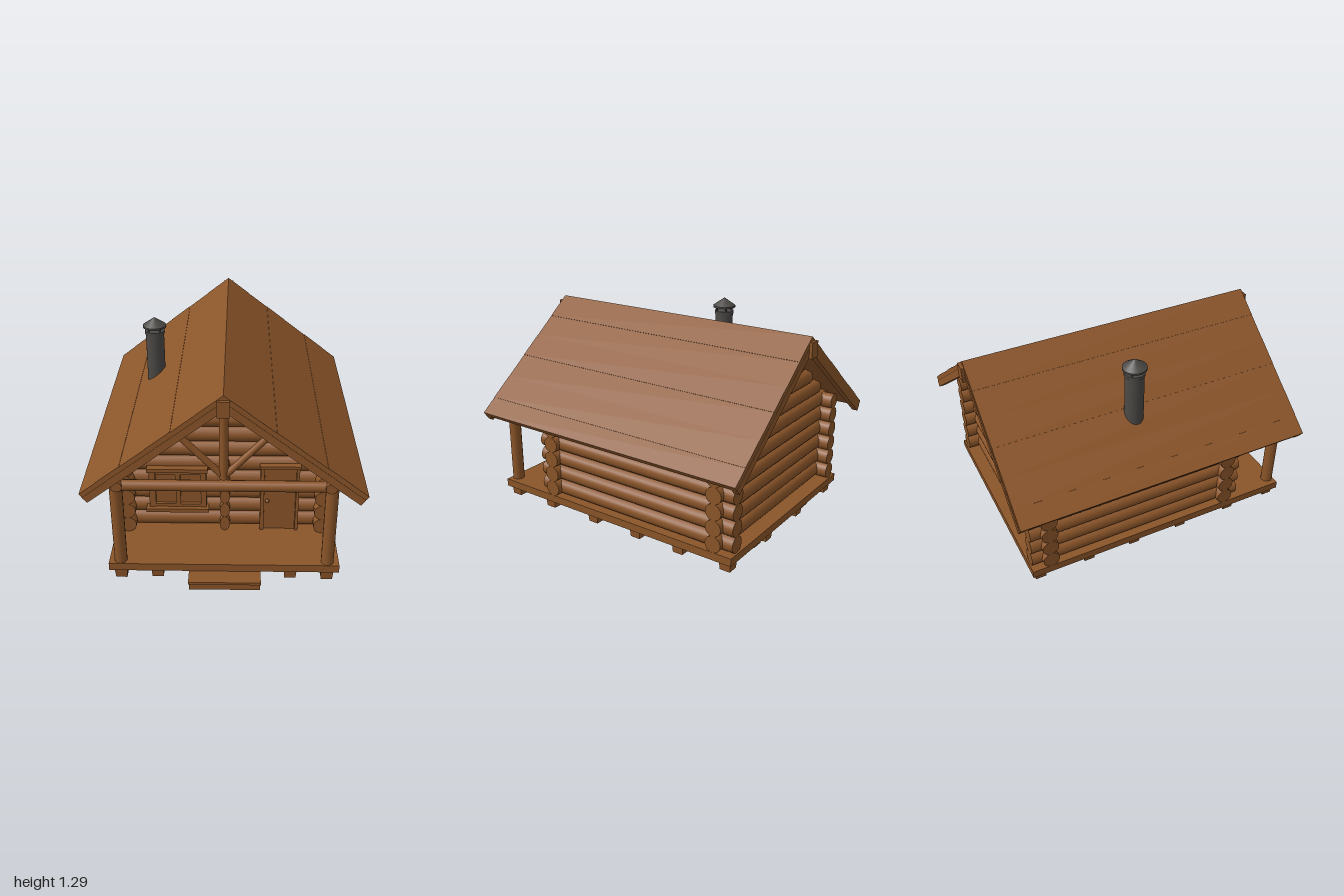
import * as THREE from 'three';

export function createModel() {
  const root = new THREE.Group();
  const wood = new THREE.MeshStandardMaterial({ color: 0x8b5529 });
  wood.name = 'wood brown';
  const iron = new THREE.MeshStandardMaterial({ color: 0x4c4946 });
  iron.name = 'stovepipe grey';

  const add = (name, geo, parent = root, mat = wood) => {
    const m = new THREE.Mesh(geo, mat);
    m.name = name;
    parent.add(m);
    return m;
  };
  const group = (name) => {
    const g = new THREE.Group();
    g.name = name;
    root.add(g);
    return g;
  };
  // Box given by its limits on each axis
  const box = (name, x0, x1, y0, y1, z0, z1, parent) => {
    const m = add(name, new THREE.BoxGeometry(x1 - x0, y1 - y0, z1 - z0), parent);
    m.position.set((x0 + x1) / 2, (y0 + y1) / 2, (z0 + z1) / 2);
    return m;
  };
  // Round log between two points
  const log = (name, a, b, r, parent) => {
    const p = new THREE.Vector3(...a), q = new THREE.Vector3(...b);
    const m = add(name, new THREE.CylinderGeometry(r, r, p.distanceTo(q), 14), parent);
    m.position.copy(p).add(q).multiplyScalar(0.5);
    m.quaternion.setFromUnitVectors(new THREE.Vector3(0, 1, 0), q.sub(p).normalize());
    return m;
  };

  // Foundation: deck, blocks, bearers and entry step
  const base = group('foundation');
  box('deck', -0.69, 0.69, 0.065, 0.115, -0.89, 0.9, base);
  const block = (x, z) => {
    const g = new THREE.CylinderGeometry(0.055, 0.048, 0.065, 4, 1).rotateY(Math.PI / 4).toNonIndexed();
    g.computeVertexNormals();
    add('foundationBlock', g, base).position.set(x, 0.0325, z);
  };
  for (const s of [-1, 1]) {
    for (const z of [-0.83, -0.5, -0.18, 0.16, 0.53, 0.85]) block(s * 0.62, z);
    block(s * 0.4, 0.84);
    block(s * 0.2, -0.83);
    box('bearer', s * 0.315 - 0.038, s * 0.315 + 0.038, 0.01, 0.066, -0.85, 0.7, base);
  }
  box('stepBody', -0.205, 0.215, 0, 0.045, 0.8, 0.99, base);
  box('stepTread', -0.21, 0.22, 0.045, 0.062, 0.79, 1.0, base);

  // Log walls with crossing corner ends
  const walls = group('logWalls');
  const R = 0.053, pitch = 0.102, firstY = 0.167;
  const frontZ = 0.47, backZ = -0.765, sideX = 0.61;
  for (let i = 0; i < 5; i++) {
    const y = firstY + i * pitch;
    for (const z of [frontZ, backZ]) log('crossLog', [-0.69, y, z], [0.69, y, z], R, walls);
    for (const x of [-sideX, sideX]) log('sideLog', [x, y, -0.88], [x, y, 0.58], R, walls);
    const mid = log('partitionLog', [0, y, -0.72], [0, y, 0.56], 0.052, walls);
    mid.scale.x = 0.62;
  }
  for (const x of [-sideX, sideX]) {
    log('wallPlate', [x, 0.672, -0.88], [x, 0.672, 0.56], 0.05, walls);
    log('eavePurlin', [x, 0.665, 0.5], [x, 0.665, 0.905], 0.033, walls);
  }

  // Gable logs shorten toward the ridge
  const RIDGE = 1.265, SLOPE = 0.768;
  for (let i = 0; i < 5; i++) {
    const y = firstY + (i + 5) * pitch;
    const half = (1.215 - y - R * 0.6) / SLOPE;
    for (const z of [frontZ, backZ]) log('gableLog', [-half, y, z], [half, y, z], R, walls);
  }

  // Roof boards, defined by span along the slope and depth below the roof surface
  const roof = group('roof');
  const nx = 0.609, ny = 0.793;
  const slopePoint = (x, d) => x === 0
    ? [0, RIDGE - d / ny]
    : [x - nx * d, RIDGE - SLOPE * x - ny * d];
  const slopeBoard = (name, s, x0, x1, d0, d1, z0, z1) => {
    const pts = [slopePoint(x0, d0), slopePoint(x1, d0), slopePoint(x1, d1), slopePoint(x0, d1)];
    const shape = new THREE.Shape(pts.map(([x, y]) => new THREE.Vector2(s * x, y)));
    const g = new THREE.ExtrudeGeometry(shape, { depth: z1 - z0, bevelEnabled: false });
    add(name, g, roof).position.z = z0;
  };
  const seams = [0, 0.15, 0.29, 0.43, 0.58, 0.72, 0.82];
  for (const s of [-1, 1]) {
    for (let i = 0; i < 6; i++) {
      slopeBoard('roofBoard', s, seams[i], seams[i + 1], (i % 2) * 0.002, 0.038, -0.98, 0.93);
    }
    slopeBoard('bargeBoard', s, 0, 0.82, 0.03, 0.074, 0.895, 0.932);
    slopeBoard('bargeBoard', s, 0, 0.82, 0.03, 0.074, -0.982, -0.945);
  }
  box('ridgeBeam', -0.036, 0.036, 1.14, 1.237, -1.0, 0.95, roof);
  // Branch stub under the eave
  const stub = add('branchStub', new THREE.ConeGeometry(0.028, 0.06, 5), roof);
  stub.rotation.x = Math.PI;
  stub.position.set(0.71, 0.6, -0.23);

  // Porch frame and front truss
  const porch = group('porch');
  for (const s of [-1, 1]) {
    log('porchPost', [s * 0.62, 0.11, 0.86], [s * 0.62, 0.66, 0.86], 0.038, porch);
    log('trussBrace', [s * 0.015, 0.745, 0.88], [s * 0.245, 0.99, 0.88], 0.02, porch);
  }
  log('porchBeam', [-0.61, 0.653, 0.86], [0.61, 0.653, 0.86], 0.033, porch);
  log('kingPost', [0, 0.72, 0.88], [0, 1.16, 0.88], 0.026, porch);

  // Window with two casements
  const win = group('window');
  const zb = 0.5;
  box('windowPane', -0.44, -0.14, 0.29, 0.54, zb - 0.02, 0.526, win);
  for (const [x0, x1] of [[-0.47, -0.43], [-0.15, -0.115]]) box('windowCasing', x0, x1, 0.28, 0.55, zb, 0.55, win);
  box('windowHeader', -0.48, -0.105, 0.545, 0.57, zb, 0.565, win);
  box('windowTopRail', -0.44, -0.14, 0.52, 0.545, zb, 0.546, win);
  box('windowSill', -0.49, -0.1, 0.26, 0.285, zb, 0.575, win);
  box('windowBottomRail', -0.44, -0.14, 0.285, 0.305, zb, 0.546, win);
  box('windowMullion', -0.305, -0.275, 0.29, 0.54, zb, 0.548, win);
  box('windowMuntin', -0.43, -0.15, 0.41, 0.422, zb, 0.538, win);

  // Door with frame and knob
  const door = group('door');
  box('doorPanel', 0.245, 0.44, 0.115, 0.572, zb, 0.535, door);
  box('doorJamb', 0.22, 0.244, 0.115, 0.575, zb, 0.55, door);
  box('doorJamb', 0.441, 0.46, 0.115, 0.575, zb, 0.55, door);
  box('doorHeader', 0.213, 0.467, 0.573, 0.592, zb, 0.56, door);
  add('doorKnob', new THREE.SphereGeometry(0.013, 10, 8), door).position.set(0.264, 0.335, 0.55);

  // Stovepipe chimney with raised rain cap
  const chimney = group('chimney');
  chimney.position.set(-0.463, 0, -0.1);
  const pipe = (name, r0, r1, y0, y1, x = 0, z = 0) => {
    const m = add(name, new THREE.CylinderGeometry(r1, r0, y1 - y0, 20), chimney, iron);
    m.position.set(x, (y0 + y1) / 2, z);
  };
  pipe('pipe', 0.059, 0.059, 0.8, 1.2);
  pipe('pipeCollar', 0.064, 0.064, 1.19, 1.21);
  for (let i = 0; i < 4; i++) {
    const a = Math.PI / 4 + i * Math.PI / 2;
    pipe('capStrut', 0.006, 0.006, 1.2, 1.24, 0.05 * Math.cos(a), 0.05 * Math.sin(a));
  }
  pipe('capRim', 0.075, 0.075, 1.233, 1.245);
  pipe('capCone', 0.075, 0.004, 1.245, 1.295);

  return root;
}
